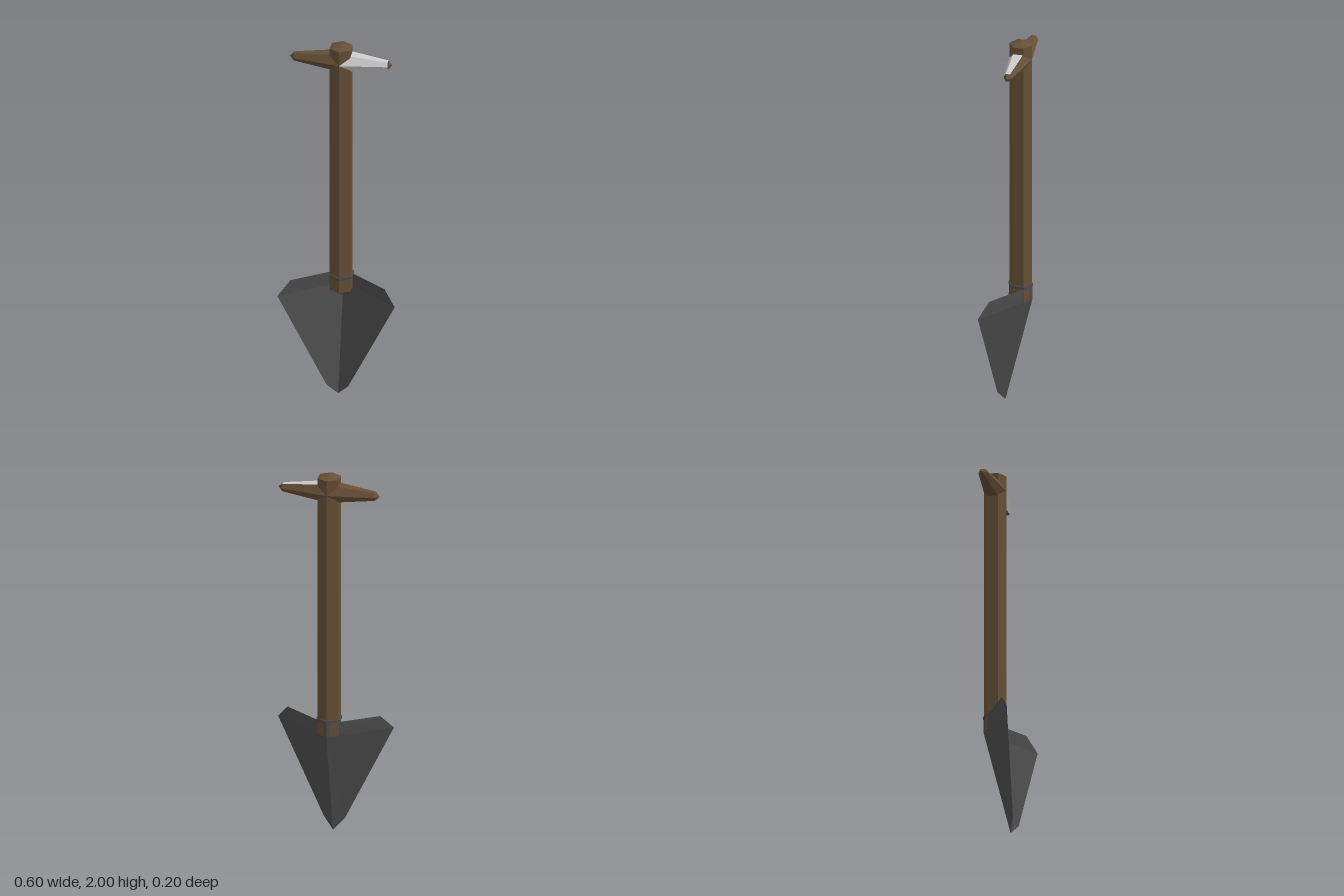
import * as THREE from 'three';

const AXIS_Z = -0.04; // depth of the shaft axis
const mat = (color, side = THREE.FrontSide) =>
  new THREE.MeshStandardMaterial({ color, side, flatShading: true });

export function createModel() {
  const model = new THREE.Group();
  const wood = mat(0x664f36);
  const iron = mat(0x4c4c4c, THREE.DoubleSide);
  const pale = mat(0xcccccc);

  const add = (name, geometry, material, parent = model) => {
    const mesh = new THREE.Mesh(geometry, material);
    mesh.name = name;
    parent.add(mesh);
    return mesh;
  };

  // Six-sided upright section with one corner facing front
  const hex = (name, rTop, rBottom, y0, y1, material, open = true) => {
    const g = new THREE.CylinderGeometry(rTop, rBottom, y1 - y0, 6, 1, open);
    g.scale(1.06, 1, 1);
    g.translate(0, (y0 + y1) / 2, AXIS_Z);
    return add(name, g, material);
  };
  hex('shaft', 0.058, 0.058, 0.57, 1.98, wood);
  hex('shaftCap', 0, 0.058, 1.98, 2, wood);
  hex('shaftPoint', 0.058, 0, 0.53, 0.57, wood);
  hex('collar', 0.064, 0.064, 0.645, 0.66, iron, false);

  // Tapered crossbar arms, each with a short pointed end
  const arm = (name, side, r0, r1, x0, x1, material, start = 0, faces = 6) => {
    const g = new THREE.CylinderGeometry(r1, r0, x1 - x0, faces, 1, true,
      start * Math.PI / 3, faces * Math.PI / 3);
    g.rotateZ(-side * Math.PI / 2);
    g.translate(side * (x0 + x1) / 2, 1.9, AXIS_Z);
    add(name, g, material, crossbar);
  };
  const crossbar = new THREE.Group();
  crossbar.name = 'crossbar';
  model.add(crossbar);
  arm('rightArm', -1, 0.058, 0.0235, 0, 0.24, wood);
  arm('leftArmBack', 1, 0.058, 0.0235, 0, 0.24, wood, 1, 3);
  arm('leftArmFront', 1, 0.058, 0.0235, 0, 0.24, pale, 4, 3);
  for (const side of [-1, 1]) {
    arm(side > 0 ? 'leftArmTip' : 'rightArmTip', side, 0.0235, 0, 0.24, 0.262, wood);
  }

  // Folded sheet blade: each half has a large slanted panel and an upright top band
  const blade = new THREE.Group();
  blade.name = 'blade';
  model.add(blade);
  for (const side of [-1, 1]) {
    const top = [0, 0.645, -0.1], bend = [0, 0.57, -0.1], tip = [0, 0, 0.04];
    const low = [0.055, 0.06, 0.067], wing = [0.3, 0.57, 0.1], shoulder = [0.24, 0.645, 0.058];
    const triangles = [
      [tip, low, bend], [low, wing, bend],
      [bend, wing, shoulder], [bend, shoulder, top],
    ];
    const positions = [];
    for (const t of triangles) {
      const ordered = side > 0 ? t : [t[0], t[2], t[1]];
      for (const [x, y, z] of ordered) positions.push(side * x, y, z);
    }
    const g = new THREE.BufferGeometry();
    g.setAttribute('position', new THREE.Float32BufferAttribute(positions, 3));
    g.computeVertexNormals();
    add(side > 0 ? 'leftBlade' : 'rightBlade', g, iron, blade);
  }

  return model;
}
